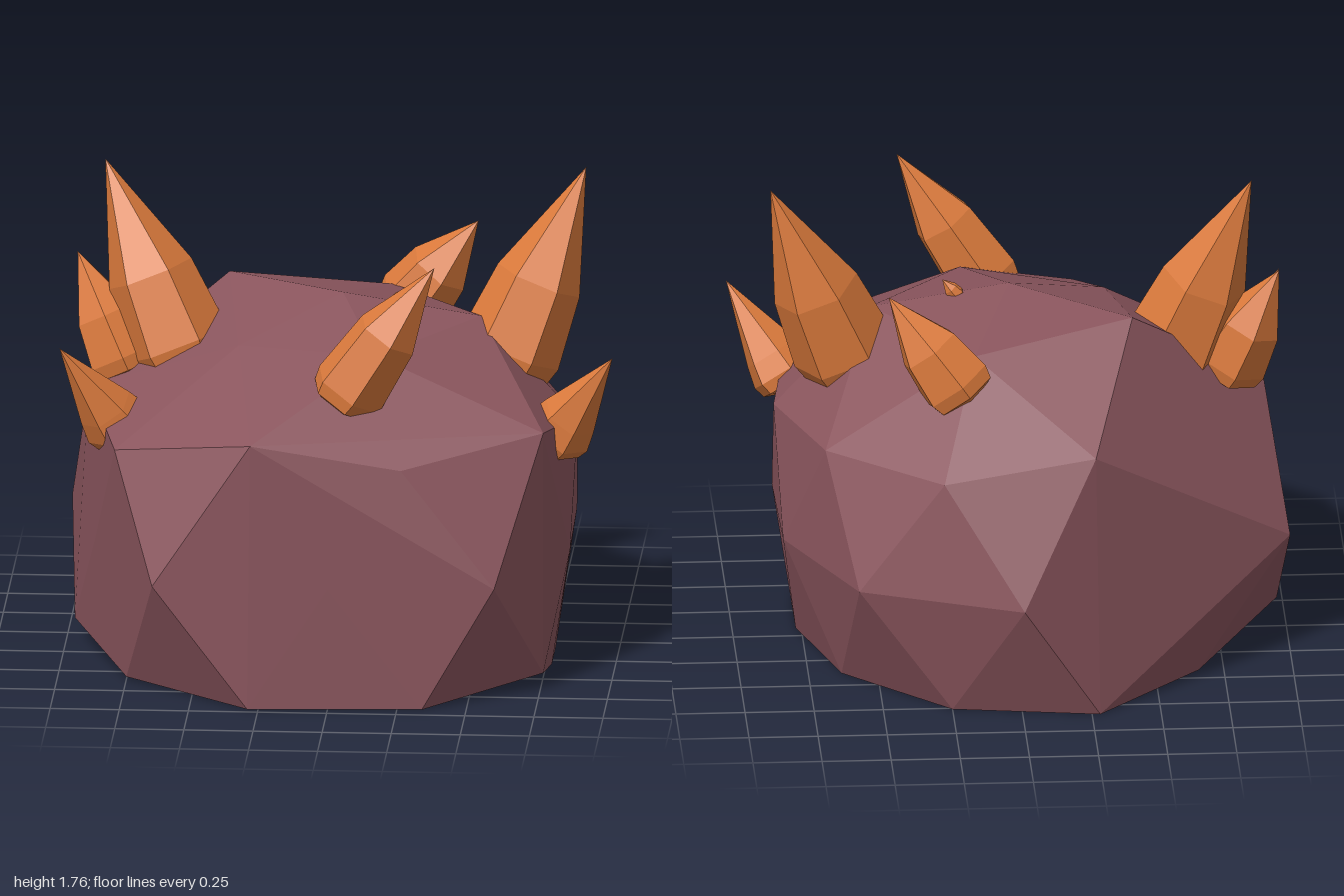
import * as THREE from 'three';
import { ConvexGeometry } from 'three/addons/geometries/ConvexGeometry.js';

// Corners of the boulder, ring by ring from the top down.
const ROCK = [
  // apex and crown
  [0, 1.32, 0.08], [0.15, 1.21, 0.53], [-0.36, 1.19, 0.35], [-0.43, 1.3, -0.24], [0.15, 1.22, -0.39], [0.5, 1.24, 0.08],
  // shoulder
  [0.26, 0.88, 0.88], [-0.28, 0.985, 0.96], [-0.79, 0.875, 0.65], [-0.92, 0.95, 0.08], [-0.62, 0.83, -0.38],
  [-0.27, 0.95, -0.74], [0.28, 0.88, -0.79], [0.69, 0.88, -0.42], [0.85, 0.87, 0.08], [0.76, 0.96, 0.63],
  // waist
  [0, 0.45, 0.95], [-0.635, 0.45, 0.95], [-0.88, 0.45, 0.37], [-1, 0.45, -0.25], [-0.5, 0.45, -0.61],
  [0, 0.45, -0.97], [0.585, 0.45, -0.73], [0.83, 0.45, -0.19], [0.84, 0.45, 0.36], [0.6, 0.45, 0.91],
  // foot
  [-0.29, 0, 0.965], [-0.75, 0.01, 0.6], [-0.97, 0.08, 0.08], [-0.885, 0, 0.08], [-0.66, 0, -0.42],
  [-0.28, 0, -0.84], [0.25, 0, -0.76], [0.63, 0, -0.38], [0.77, 0, 0.08], [0.76, 0.06, 0.63],
  [0.77, 0, 0.3], [0.34, 0, 0.93],
];

export function createModel() {
  const model = new THREE.Group();
  const rockMat = new THREE.MeshStandardMaterial({ color: 0x8a555d });
  const crystalMat = new THREE.MeshStandardMaterial({ color: 0xdb7a3c });
  rockMat.name = 'dusky rock';
  crystalMat.name = 'orange crystal';

  const rock = new THREE.Mesh(new ConvexGeometry(ROCK.map((p) => new THREE.Vector3(...p))), rockMat);
  rock.name = 'boulder';
  model.add(rock);

  // Faceted spike from a buried root to a sharp tip, with a shoulder part way up.
  function addSpike(name, base, tip, radius, shoulder = 0.4, turn = 0) {
    const from = new THREE.Vector3(...base);
    const axis = new THREE.Vector3(...tip).sub(from);
    const h = axis.length();
    const profile = [[0, -radius * 0.7], [radius * 0.9, -radius * 0.35], [radius, 0], [radius * 0.84, h * shoulder], [0, h]];
    const lathe = new THREE.LatheGeometry(profile.map((p) => new THREE.Vector2(...p)), 6, turn);
    const geo = lathe.toNonIndexed();
    geo.computeVertexNormals();
    const mesh = new THREE.Mesh(geo, crystalMat);
    mesh.name = name;
    mesh.position.copy(from);
    mesh.quaternion.setFromUnitVectors(new THREE.Vector3(0, 1, 0), axis.normalize());
    model.add(mesh);
  }

  // Matching pairs on both sides
  for (const [side, s] of [['left', 1], ['right', -1]]) {
    addSpike(side + 'LargeCrystal', [s * 0.6, 1.1, 0.03], [s * 0.87, 1.76, -0.08], 0.19, 0.38, s * 0.5);
    addSpike(side + 'SmallCrystal', [s * 0.8, 0.89, 0.35], [s, 1.2, 0.47], 0.125, 0.2, s * 0.3);
  }
  // Single crystals
  addSpike('frontCrystal', [0.06, 1.12, 0.66], [0.37, 1.59, 0.69], 0.14, 0.45, 0.2);
  addSpike('backCrystal', [0.22, 1.14, -0.45], [0.46, 1.46, -0.4], 0.14, 0.4, 0.2);
  addSpike('rightSideCrystal', [-0.8, 1.04, 0], [-0.97, 1.41, -0.08], 0.14, 0.4, 0.1);
  addSpike('tinyCrystal', [0.19, 1.28, 0.08], [0.24, 1.34, 0.075], 0.032, 0.4);

  return model;
}
